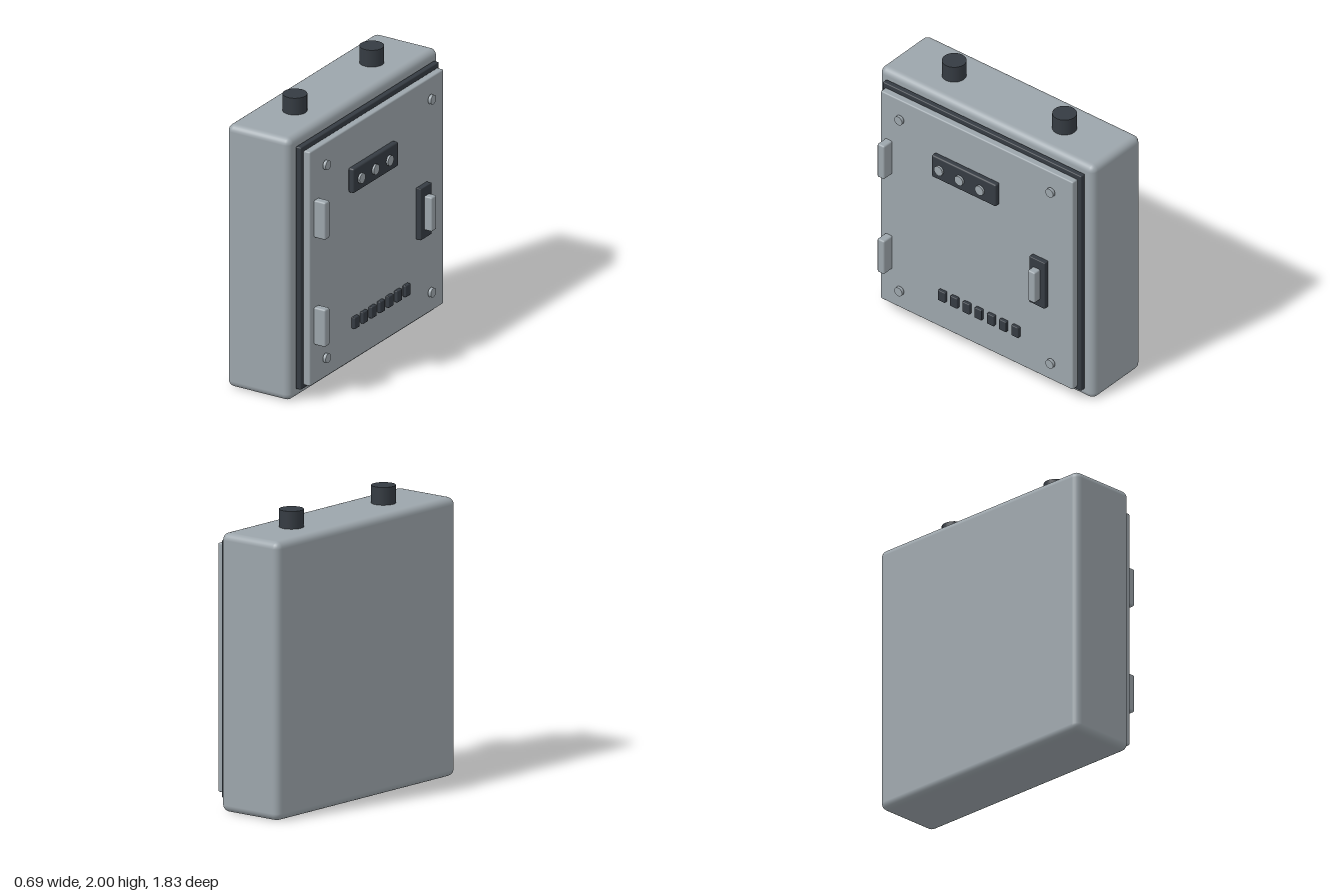
import * as THREE from 'three';
import { RoundedBoxGeometry } from 'three/addons/geometries/RoundedBoxGeometry.js';

export function createModel() {
  const model = new THREE.Group();
  model.name = 'electricalCabinet';

  const paint = (name, color) => {
    const m = new THREE.MeshStandardMaterial({ color });
    m.name = name;
    return m;
  };
  const grey = paint('grey enamel', 0x9ca5ab);
  const dark = paint('dark rubber', 0x353b42);

  const add = (name, geometry, material, x, y, z) => {
    const mesh = new THREE.Mesh(geometry, material);
    mesh.name = name;
    mesh.position.set(x, y, z);
    model.add(mesh);
    return mesh;
  };

  // Rounded box given by its extents on each axis
  const block = (name, material, [x0, x1], [y0, y1], [z0, z1], radius) =>
    add(name, new RoundedBoxGeometry(x1 - x0, y1 - y0, z1 - z0, 3, radius), material,
      (x0 + x1) / 2, (y0 + y1) / 2, (z0 + z1) / 2);

  // Disc whose axis points out of the door (+x)
  const disc = (name, x0, x1, y, z, radius, sides) => {
    const geometry = new THREE.CylinderGeometry(radius, radius, x1 - x0, sides);
    geometry.rotateZ(-Math.PI / 2);
    return add(name, geometry, grey, (x0 + x1) / 2, y, z);
  };

  // Housing, seal and door stacked along +x
  block('housing', grey, [-0.35, 0.145], [0, 1.88], [-0.913, 0.913], 0.048);
  block('doorSeal', dark, [0.149, 0.191], [0.075, 1.812], [-0.845, 0.845], 0.008);
  block('door', grey, [0.191, 0.245], [0.103, 1.782], [-0.818, 0.818], 0.01);

  // Cable glands on the roof
  for (const z of [-0.47, 0.47]) {
    add('cableGland', new THREE.CylinderGeometry(0.082, 0.082, 0.14, 24), dark, -0.095, 1.93, z);
  }

  // Hinges along the front edge of the door
  for (const y of [0.388, 1.156]) {
    block('hinge', grey, [0.243, 0.335], [y, y + 0.268], [0.715, 0.774], 0.012);
  }

  // Corner screws
  for (const y of [0.25, 1.634]) {
    for (const z of [-0.643, 0.643]) disc('screw', 0.254, 0.276, y, z, 0.033, 24);
  }

  // Indicator panel with three lamps
  block('indicatorPanel', dark, [0.243, 0.288], [1.325, 1.5], [-0.197, 0.35], 0.012);
  for (const z of [0.275, 0.102, -0.072]) disc('lamp', 0.294, 0.309, 1.413, z, 0.036, 16);

  // Latch plate and handle
  block('latchPlate', dark, [0.243, 0.284], [0.685, 1.055], [-0.611, -0.478], 0.006);
  block('handle', grey, [0.283, 0.345], [0.748, 0.992], [-0.575, -0.515], 0.01);

  // Row of vent slots
  for (let i = 0; i < 7; i++) {
    const z = 0.28 - i * 0.104;
    block('ventSlot', dark, [0.243, 0.272], [0.334, 0.416], [z - 0.03, z + 0.03], 0.006);
  }

  return model;
}
